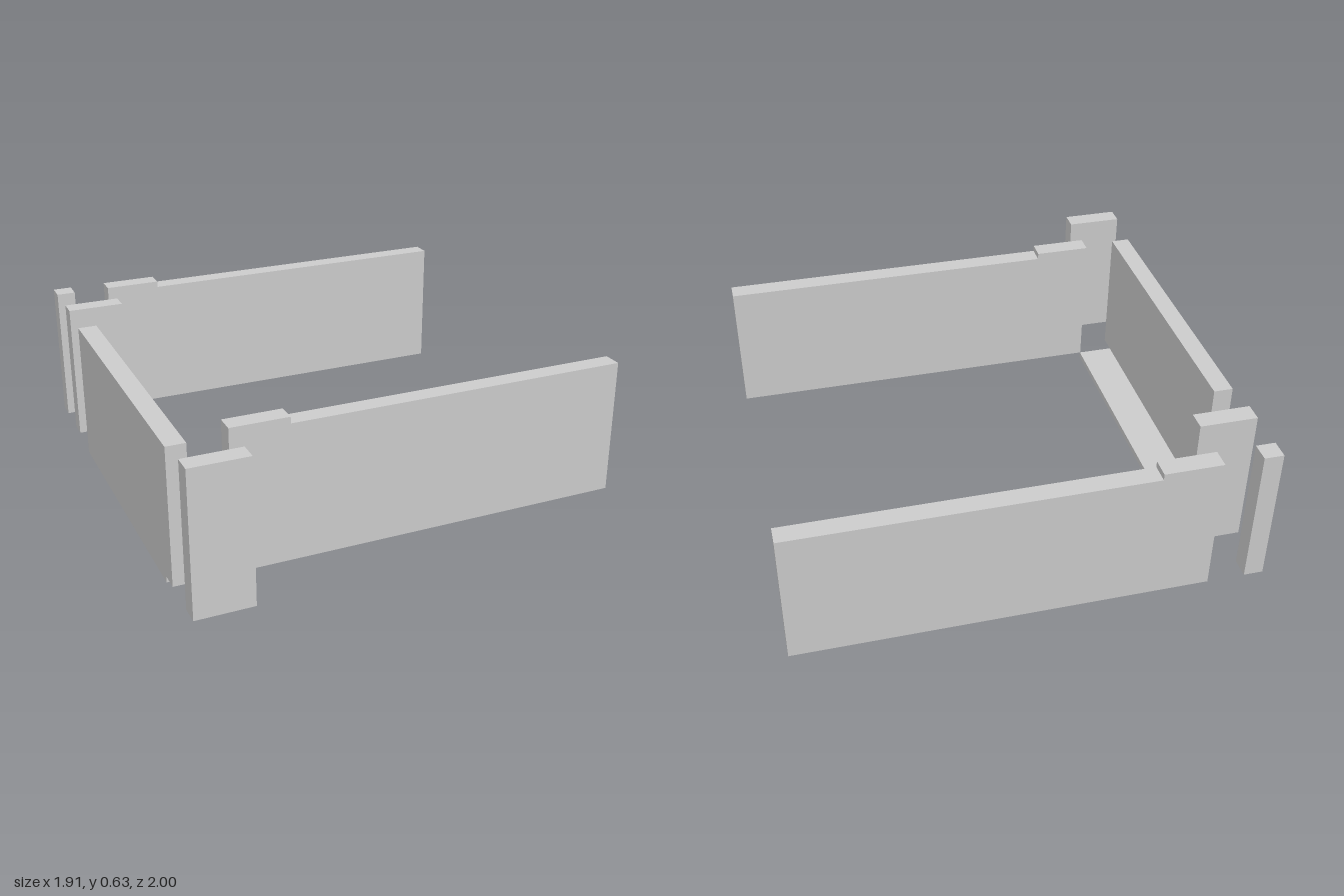
import * as THREE from 'three';

const material = new THREE.MeshStandardMaterial({ color: 0xcccccc, flatShading: true });

// Box given by its extents on each axis
function block(name, [x0, x1], [y0, y1], [z0, z1]) {
  const mesh = new THREE.Mesh(new THREE.BoxGeometry(x1 - x0, y1 - y0, z1 - z0), material);
  mesh.position.set((x0 + x1) / 2, (y0 + y1) / 2, (z0 + z1) / 2);
  mesh.name = name;
  return mesh;
}

// Long side wall with a slightly raised step at its left end
function sideWall(name, z) {
  const shape = new THREE.Shape([
    [-0.72, 0.027], [0.957, 0.027], [0.957, 0.601], [-0.48, 0.601], [-0.48, 0.628], [-0.72, 0.628],
  ].map(([x, y]) => new THREE.Vector2(x, y)));
  const geometry = new THREE.ExtrudeGeometry(shape, { depth: 0.08, bevelEnabled: false });
  const mesh = new THREE.Mesh(geometry, material);
  mesh.position.z = z;
  mesh.name = name;
  return mesh;
}

export function createModel() {
  const group = new THREE.Group();
  group.name = 'wallLayout';
  const height = [0.027, 0.628];
  const outer = [-0.957, -0.877];
  const strip = [-0.957, -0.718];

  // Parallel long walls
  group.add(sideWall('backSideWall', -1), sideWall('frontSideWall', 0.678));

  // End wall standing on a thin floor slab
  group.add(
    block('endWall', outer, [0.027, 0.601], [-0.522, 0.758]),
    block('floorSlab', strip, [0, 0.027], [-0.522, 0.678]),
  );

  // Short return walls and corner post
  group.add(
    block('frontShortWall', strip, height, [0.92, 1]),
    block('backShortWall', strip, height, [-0.76, -0.68]),
    block('cornerPost', outer, height, [-1, -0.92]),
  );
  return group;
}
